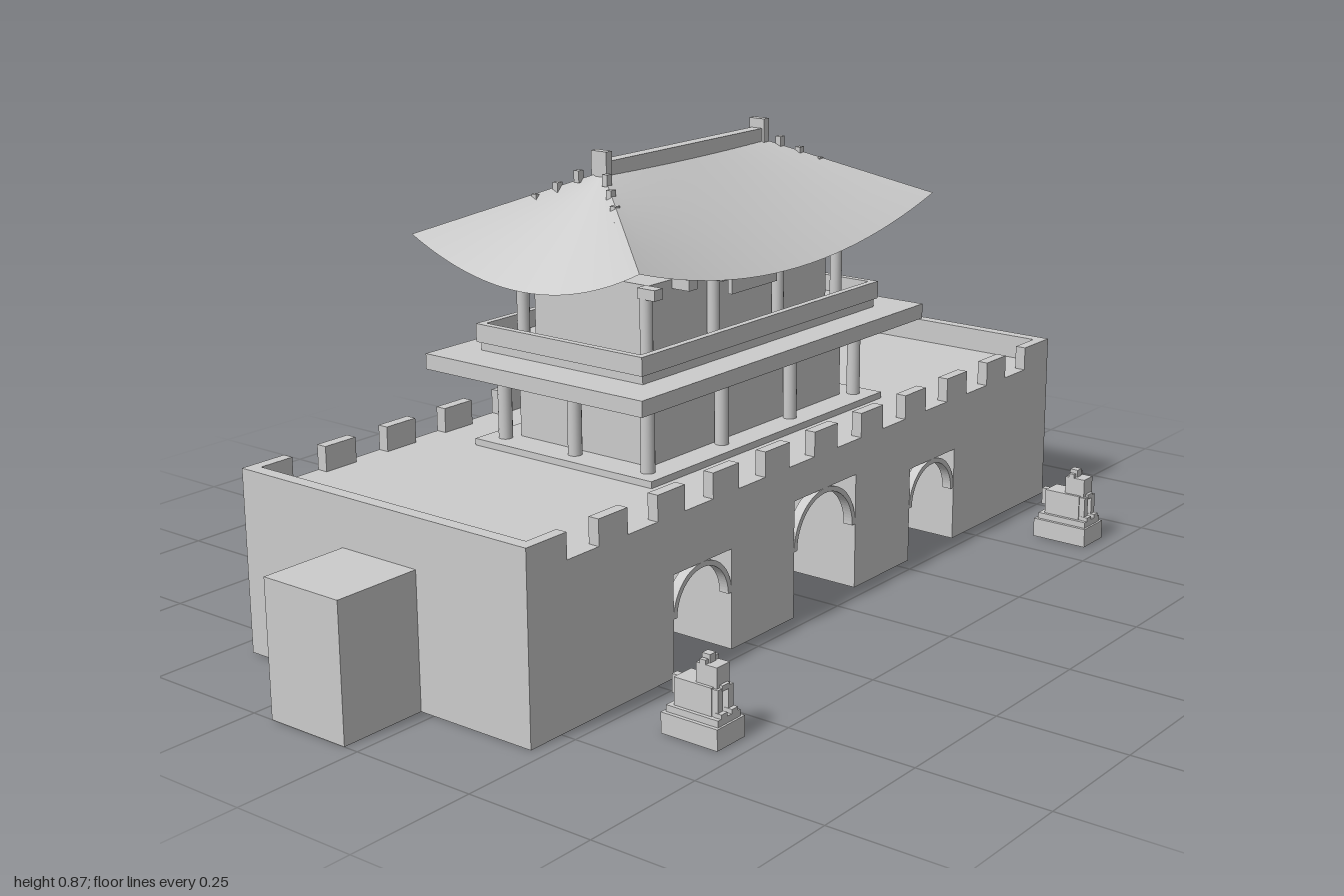
import * as THREE from 'three';

export function createModel() {
  const model = new THREE.Group();
  const stone = new THREE.MeshStandardMaterial({ color: 0xcccccc });
  stone.name = 'pale grey';
  const thin = stone;
  thin.side = THREE.DoubleSide;
  const ZC = -0.117; // centre line of the gatehouse

  function group(name, parent = model) {
    const g = new THREE.Group();
    g.name = name;
    parent.add(g);
    return g;
  }
  function add(name, geometry, parent = model) {
    const m = new THREE.Mesh(geometry, stone);
    m.name = name;
    parent.add(m);
    return m;
  }
  // Box given by its extents
  function box(name, x0, x1, y0, y1, z0, z1, parent) {
    const m = add(name, new THREE.BoxGeometry(x1 - x0, y1 - y0, z1 - z0), parent);
    m.position.set((x0 + x1) / 2, (y0 + y1) / 2, (z0 + z1) / 2);
    return m;
  }
  function column(x, z, r, y0, y1, parent) {
    const m = add('column', new THREE.CylinderGeometry(r, r, y1 - y0, 16), parent);
    m.position.set(x, (y0 + y1) / 2, z);
  }

  // Fortified base with three passages
  const gates = [
    { x: -0.3725, r: 0.0825, top: 0.192, door: 0.175 },
    { x: 0, r: 0.1, top: 0.23, door: 0.21 },
    { x: 0.3725, r: 0.0825, top: 0.192, door: 0.175 },
  ];
  const outline = new THREE.Shape();
  outline.moveTo(-0.825, 0);
  for (const g of gates) {
    outline.lineTo(g.x - g.r, 0);
    outline.lineTo(g.x - g.r, g.top);
    outline.lineTo(g.x + g.r, g.top);
    outline.lineTo(g.x + g.r, 0);
  }
  outline.lineTo(0.825, 0);
  outline.lineTo(0.825, 0.3);
  outline.lineTo(-0.825, 0.3);
  const base = add('fortifiedBase', new THREE.ExtrudeGeometry(outline, { depth: 0.675, bevelEnabled: false }));
  base.position.z = -0.455;

  // Arch rims and doors
  function archRim(g, z) {
    const s = new THREE.Shape();
    s.absarc(0, 0, g.r, 0, Math.PI, false);
    s.absarc(0, 0, g.r - 0.01, Math.PI, 0, true);
    const geo = new THREE.ExtrudeGeometry(s, { depth: 0.02, bevelEnabled: false, curveSegments: 20 });
    add('archRim', geo).position.set(g.x, g.top - g.r, z);
  }
  for (const g of gates) {
    archRim(g, 0.2);
    if (g.x) archRim(g, -0.455);
    const side = Math.sign(g.x) * 0.005;
    const half = g.r - Math.abs(side);
    box('door', g.x - side - half, g.x - side + half, 0, g.door, ZC - 0.01, ZC + 0.01);
  }

  // Battlements and side walls
  const battlements = group('battlements');
  for (let i = -5; i <= 5; i++) {
    const x = i * 0.153;
    box('merlon', x - 0.037, x + 0.037, 0.3, 0.348, 0.198, 0.22, battlements);
    box('merlon', x - 0.037, x + 0.037, 0.3, 0.348, -0.455, -0.433, battlements);
  }
  for (const s of [-1, 1]) {
    const p = box('endParapet', 0.8, 0.825, 0.3, 0.348, -0.455, 0.22, battlements);
    p.position.x *= s;
    const w = box('sideWall', 0.825, 1, 0, 0.255, -0.205, -0.03);
    w.position.x *= s;
  }

  // Lower storey
  const lower = group('lowerStorey');
  box('plinth', -0.365, 0.365, 0.3, 0.313, ZC - 0.215, ZC + 0.215, lower);
  box('lowerWall', -0.3, 0.3, 0.313, 0.458, ZC - 0.158, ZC + 0.158, lower);
  for (const x of [-0.325, -0.108, 0.108, 0.325]) {
    for (const dz of [-0.174, 0.174]) column(x, ZC + dz, 0.0135, 0.313, 0.458, lower);
  }
  for (const x of [-0.325, 0.325]) column(x, ZC, 0.0135, 0.313, 0.458, lower);
  box('lowerEave', -0.443, 0.443, 0.458, 0.488, ZC - 0.26, ZC + 0.26, lower);

  // Balcony with a raised rim
  const balcony = group('balcony');
  box('balconyFloor', -0.362, 0.362, 0.488, 0.507, ZC - 0.195, ZC + 0.195, balcony);
  for (const s of [-1, 1]) {
    box('longRail', -0.37, 0.37, 0.505, 0.54, ZC + s * 0.193 - 0.007, ZC + s * 0.193 + 0.007, balcony);
    box('endRail', s * 0.363 - 0.007, s * 0.363 + 0.007, 0.505, 0.54, ZC - 0.186, ZC + 0.186, balcony);
  }

  // Upper storey
  const upper = group('upperStorey');
  box('upperWall', -0.275, 0.275, 0.507, 0.642, ZC - 0.138, ZC + 0.138, upper);
  for (const x of [-0.295, -0.1, 0.1, 0.295]) {
    for (const dz of [-0.149, 0.149]) column(x, ZC + dz, 0.012, 0.507, 0.642, upper);
  }
  box('namelessPlaque', -0.07, 0.07, 0.592, 0.636, ZC + 0.16, ZC + 0.169, upper);

  // Brackets under both eaves
  for (let i = -3; i <= 3; i++) {
    for (const s of [-1, 1]) {
      const xl = i * 0.108, xu = i * 0.0983;
      if (Math.abs(i) < 4) {
        box('lowerBracket', xl - 0.011, xl + 0.011, 0.446, 0.458, ZC + s * 0.172 - 0.016, ZC + s * 0.172 + 0.016, lower);
        box('upperBracket', xu - 0.012, xu + 0.012, 0.625, 0.645, ZC + s * 0.158 - 0.02, ZC + s * 0.158 + 0.02, upper);
      }
    }
  }

  // Hipped roof: each slope is ruled from a drooping eave up to the ridge
  const HX = 0.457, HZ = 0.27, RX = 0.235, RY = 0.828;
  function slope(name, eave, ridge) {
    const N = 24, M = 4, pos = [], idx = [];
    for (let i = 0; i <= N; i++) {
      const t = (2 * i) / N - 1;
      const a = eave(t), b = ridge(t);
      for (let j = 0; j <= M; j++) {
        const p = a.clone().lerp(b, j / M);
        pos.push(p.x, p.y, p.z);
        if (i < N && j < M) {
          const k = i * (M + 1) + j;
          idx.push(k, k + M + 1, k + 1, k + 1, k + M + 1, k + M + 2);
        }
      }
    }
    const geo = new THREE.BufferGeometry();
    geo.setAttribute('position', new THREE.Float32BufferAttribute(pos, 3));
    geo.setIndex(idx);
    geo.computeVertexNormals();
    add(name, geo, roof);
  }
  const roof = group('roof');
  roof.position.z = ZC;
  const eaveY = (t) => 0.645 + 0.07 * t * t;
  for (const s of [1, -1]) {
    slope('longSlope',
      (t) => new THREE.Vector3(s * t * HX, eaveY(t), s * HZ),
      (t) => new THREE.Vector3(s * t * RX, RY, 0));
    slope('hipSlope',
      (t) => new THREE.Vector3(s * HX, eaveY(t), -s * t * HZ),
      () => new THREE.Vector3(s * RX, RY, 0));
    box('ridgeFinial', s * 0.238 - 0.008, s * 0.238 + 0.008, 0.82, 0.867, -0.018, 0.018, roof);
    // Small ornaments stepping down each hip
    for (const q of [1, -1]) {
      for (let i = 0; i < 4; i++) {
        const t = 0.125 + i * 0.111;
        const x = s * (RX + (HX - RX) * t), z = q * HZ * t, y = 0.831 - i * 0.0215;
        box('hipOrnament', x - 0.007, x + 0.007, y - 0.022, y, z - 0.006, z + 0.006, roof);
      }
    }
  }
  box('ridge', -0.235, 0.235, 0.815, 0.848, -0.013, 0.013, roof);

  // Pair of guardian statues in front
  for (const x of [-0.608, 0.608]) {
    const g = group('guardianStatue');
    g.position.x = x;
    box('pedestal', -0.037, 0.037, 0, 0.038, 0.345, 0.463, g);
    box('pedestalStep', -0.03, 0.03, 0.038, 0.05, 0.351, 0.459, g);
    box('body', -0.023, 0.023, 0.05, 0.1, 0.362, 0.44, g);
    box('head', -0.017, 0.017, 0.098, 0.135, 0.404, 0.447, g);
    box('muzzle', -0.01, 0.01, 0.093, 0.103, 0.44, 0.453, g);
    box('crest', -0.008, 0.008, 0.135, 0.15, 0.409, 0.426, g);
    box('tail', -0.007, 0.007, 0.062, 0.096, 0.345, 0.362, g);
    for (const s of [-1, 1]) {
      box('frontLeg', s * 0.014 - 0.007, s * 0.014 + 0.007, 0.05, 0.098, 0.438, 0.452, g);
      box('paw', s * 0.014 - 0.008, s * 0.014 + 0.008, 0.05, 0.058, 0.445, 0.46, g);
      box('ear', s * 0.014 - 0.004, s * 0.014 + 0.004, 0.135, 0.143, 0.412, 0.424, g);
    }
  }
  return model;
}
